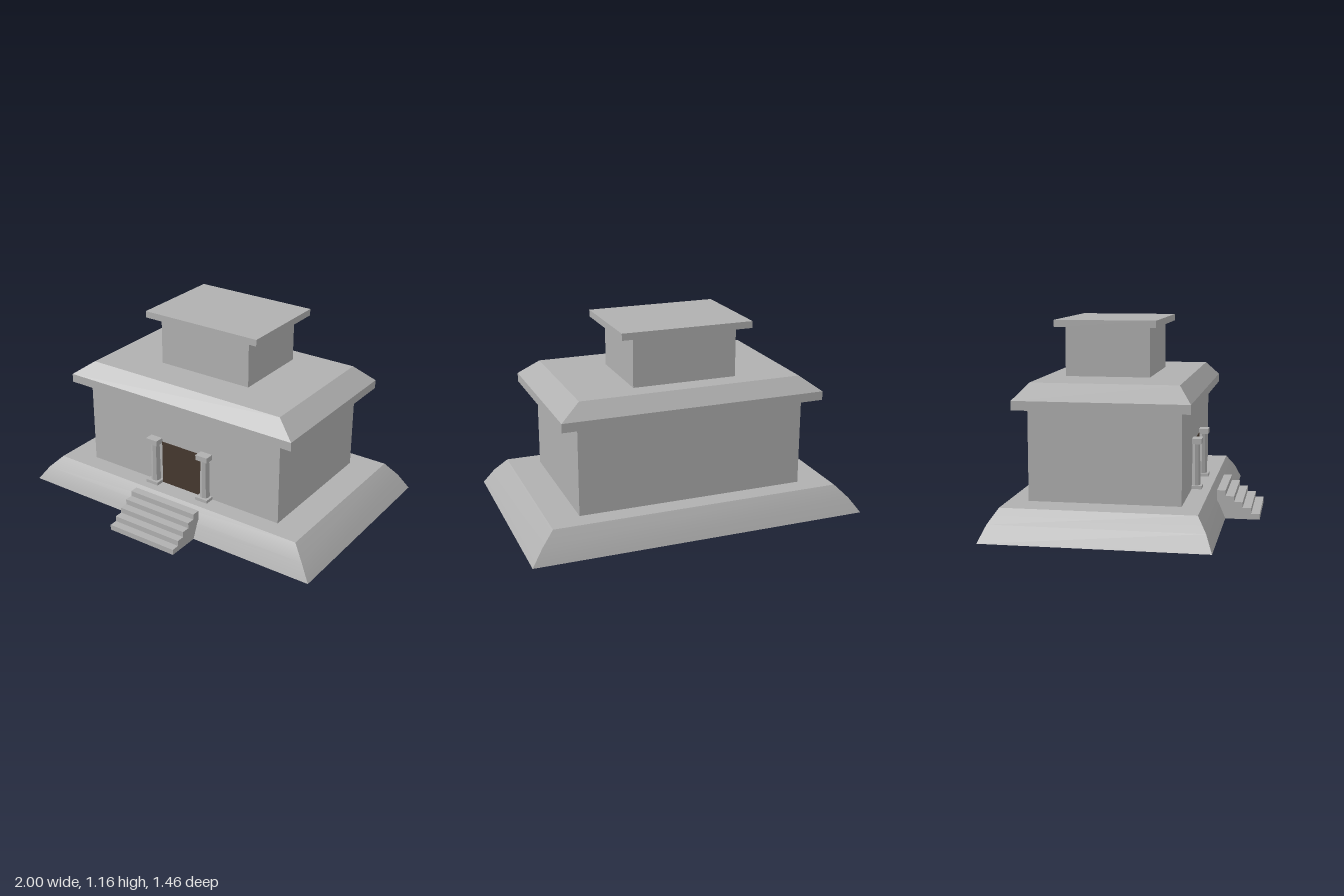
import * as THREE from 'three';

const stone = new THREE.MeshStandardMaterial({ color: 0xb0b0b0 });
stone.name = 'stone';
const darkWood = new THREE.MeshStandardMaterial({ color: 0x45382f });
darkWood.name = 'darkWood';

export function createModel() {
  const model = new THREE.Group();
  model.name = 'temple';

  const add = (name, geometry, material = stone, parent = model) => {
    const mesh = new THREE.Mesh(geometry, material);
    mesh.name = name;
    parent.add(mesh);
    return mesh;
  };

  // Box given by its limits on each axis
  const box = (x0, x1, y0, y1, z0, z1) =>
    new THREE.BoxGeometry(x1 - x0, y1 - y0, z1 - z0)
      .translate((x0 + x1) / 2, (y0 + y1) / 2, (z0 + z1) / 2);

  // Rectangular block whose outline follows rings [y, halfX, zBack, zFront]
  const tapered = (rings) => {
    const n = rings.length - 1;
    const g = new THREE.BoxGeometry(1, 1, 1, 1, n, 1);
    const p = g.attributes.position;
    for (let i = 0; i < p.count; i++) {
      const [y, hx, z0, z1] = rings[Math.round((p.getY(i) + 0.5) * n)];
      p.setXYZ(i, Math.sign(p.getX(i)) * hx, y, p.getZ(i) < 0 ? z0 : z1);
    }
    g.computeVertexNormals();
    return g;
  };

  // Sloping platform
  add('platform', tapered([
    [0, 1, -0.73, 0.53], [0.09, 0.935, -0.693, 0.492], [0.167, 0.86, -0.645, 0.44],
  ]));

  // Main hall with its eaves and hipped roof
  add('hallWalls', box(-0.677, 0.677, 0.167, 0.69, -0.53, 0.33));
  add('eaves', box(-0.78, 0.78, 0.69, 0.742, -0.593, 0.39));
  add('hippedRoof', tapered([[0.742, 0.78, -0.593, 0.39], [0.83, 0.66, -0.52, 0.315]]));

  // Upper storey and flat roof slab
  add('upperStorey', box(-0.31, 0.31, 0.83, 1.12, -0.4, 0.095));
  add('upperRoof', box(-0.39, 0.39, 1.12, 1.16, -0.448, 0.143));

  // Doorway
  add('door', box(-0.14, 0.14, 0.167, 0.443, 0.327, 0.334), darkWood);

  // Pillars either side of the door
  for (const side of [-1, 1]) {
    const pillar = new THREE.Group();
    pillar.name = side > 0 ? 'leftPillar' : 'rightPillar';
    pillar.position.set(side * 0.182, 0, 0.347);
    model.add(pillar);
    add('pillarBase', box(-0.042, 0.042, 0.167, 0.186, -0.042, 0.042), stone, pillar);
    const shaft = new THREE.CylinderGeometry(0.026, 0.03, 0.25, 8).toNonIndexed();
    shaft.computeVertexNormals();
    add('pillarShaft', shaft.translate(0, 0.311, 0), stone, pillar);
    add('pillarCapital', box(-0.04, 0.04, 0.434, 0.466, -0.039, 0.039), stone, pillar);
  }

  // Front stairs: one stepped side profile extruded across the width
  const steps = 5, rise = 0.0334, run = 0.05, front = 0.73, back = 0.48;
  const profile = new THREE.Shape().moveTo(back, 0).lineTo(front, 0);
  for (let i = 0; i < steps; i++) {
    profile.lineTo(front - i * run, (i + 1) * rise);
    profile.lineTo(front - (i + 1) * run, (i + 1) * rise);
  }
  const stairs = new THREE.ExtrudeGeometry(profile, { depth: 0.46, bevelEnabled: false });
  add('stairs', stairs.translate(0, 0, -0.23).rotateY(-Math.PI / 2));

  return model;
}
